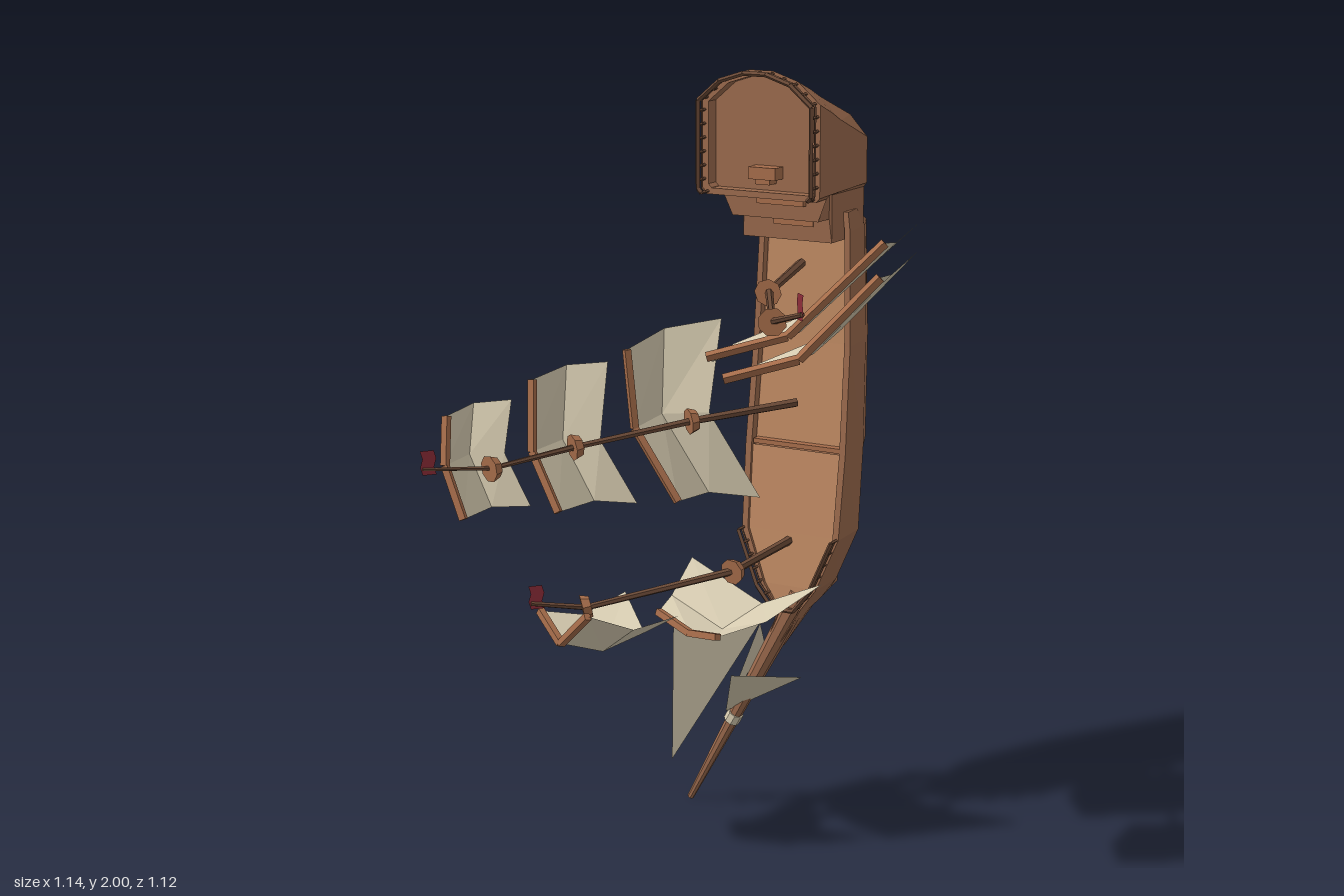
import * as THREE from 'three';

const V = (a) => new THREE.Vector3(...a);
const mat = (color) => new THREE.MeshStandardMaterial({ color, flatShading: true, side: THREE.DoubleSide });
const hullMat = mat(0x9b6a4d), deckMat = mat(0xc08a63), trimMat = mat(0xa56c4a);
const mastMat = mat(0x6a4936), sailMat = mat(0xd6cbb0), flagMat = mat(0x8c2c38);

function add(parent, name, geo, material) {
  const m = new THREE.Mesh(geo, material);
  m.name = name;
  parent.add(m);
  return m;
}

// Skin between rows of points; optionally closed around and capped at both ends
function skin(rows, closed, caps) {
  const pos = [], n = rows[0].length;
  const tri = (a, b, c) => pos.push(...a, ...b, ...c);
  for (let i = 0; i + 1 < rows.length; i++)
    for (let j = 0; j < (closed ? n : n - 1); j++) {
      const k = (j + 1) % n, r = rows[i], s = rows[i + 1];
      tri(r[j], r[k], s[j]);
      tri(r[k], s[k], s[j]);
    }
  if (caps) [rows[0], rows[rows.length - 1]].forEach((r, e) => {
    const c = [0, 1, 2].map((q) => r.reduce((t, p) => t + p[q], 0) / n);
    for (let j = 0; j < n; j++) {
      const k = (j + 1) % n;
      if (e) tri(r[j], r[k], c); else tri(r[k], r[j], c);
    }
  });
  const g = new THREE.BufferGeometry();
  g.setAttribute('position', new THREE.Float32BufferAttribute(pos, 3));
  g.computeVertexNormals();
  return g;
}

// Tapered round or square bar between two points
function bar(parent, name, a, b, r0, r1, material, sides = 6) {
  const p = V(a), q = V(b), d = q.clone().sub(p);
  const m = add(parent, name, new THREE.CylinderGeometry(r1, r0, d.length(), sides), material);
  m.position.copy(p).add(q).multiplyScalar(0.5);
  m.quaternion.setFromUnitVectors(new THREE.Vector3(0, 1, 0), d.normalize());
}
function chain(parent, name, pts, r, material, sides) {
  for (let i = 0; i + 1 < pts.length; i++) bar(parent, name, pts[i], pts[i + 1], r, r, material, sides);
}

// Hull stations: height, keel start depth, keel, bilge and deck half widths, deck depth, sideways shift
const stations = [
  [1.64, 0.12, 0.035, 0.09, 0.122, 0.268, 0.045],
  [1.59, 0, 0.035, 0.1, 0.128, 0.268, 0.045],
  [1.3, 0, 0.035, 0.11, 0.138, 0.27, 0.04],
  [1.02, 0, 0.035, 0.11, 0.144, 0.278, 0.028],
  [0.8, 0, 0.018, 0.055, 0.14, 0.288, 0.02],
  [0.66, 0, 0.012, 0.025, 0.08, 0.296, 0.02],
  [0.6, 0, 0.01, 0.018, 0.035, 0.296, 0.02],
  [0.585, 0.13, 0.01, 0.02, 0.03, 0.29, 0.015],
  [0.48, 0.225, 0.008, 0.012, 0.016, 0.275, -0.04],
];

function hullRing([y, d0, k, b, w, D, o]) {
  const at = (t) => d0 + (D - d0) * t, wi = w * 0.88;
  const side = [[k, d0], [b, at(0.2)], [w, at(0.55)], [w, D], [wi, D], [wi, D - 0.03]];
  return [...side, ...side.map(([u, d]) => [-u, d]).reverse()].map(([u, d]) => [u + o * d / D, y, d]);
}

function buildHull(group) {
  const hull = new THREE.Group();
  hull.name = 'hull';
  hull.position.set(0.155, 0, -0.56);
  hull.rotation.y = -0.18;
  group.add(hull);
  add(hull, 'hullShell', skin(stations.map(hullRing), true, true), hullMat);

  // Main deck and raised foredeck
  const strip = ([y, , , , w, D, o], drop) => [-1, 1].map((s) => [o + s * w * 0.88, y, D - drop]);
  add(hull, 'mainDeck', skin(stations.slice(1, 4).map((s) => strip(s, 0.027)), false), deckMat);
  add(hull, 'foreDeck', skin(stations.slice(3, 7).map((s) => strip(s, 0.008)), false), deckMat);
  const step = add(hull, 'foreDeckEdge', new THREE.BoxGeometry(0.25, 0.012, 0.03), trimMat);
  step.position.set(0.03, 1.03, 0.26);

  // Stern castle: arched sections from the back to the recessed front, narrow below the quarterdeck
  const arch = (d, low, w, top, s = 1, foot = w * 0.94) => {
    const half = [[foot, low], [foot, 1.69], [w, 1.7], [w, top - 0.075], [w * 0.62, top - 0.022], [w * 0.2, top]];
    const shift = 0.035 - 0.01 * (d - 0.15) / 0.31, mid = (low + top) / 2;
    return [...half, ...half.map(([u, y]) => [-u, y]).reverse()]
      .map(([u, y]) => [u * s + shift, mid + (y - mid) * s, d]);
  };
  const sections = [
    arch(0.16, 1.57, 0.128, 1.89), arch(0.33, 1.57, 0.148, 1.95, 1, 0.125),
    arch(0.335, 1.63, 0.148, 1.952, 1, 0.12), arch(0.39, 1.63, 0.155, 1.975, 1, 0.12),
    arch(0.395, 1.689, 0.155, 1.977), arch(0.46, 1.689, 0.163, 2),
    arch(0.46, 1.689, 0.163, 2, 0.9), arch(0.425, 1.689, 0.163, 2, 0.9),
  ];
  add(hull, 'sternCastle', skin(sections, true, true), hullMat);

  // Stairs and helm
  for (let i = 0; i < 4; i++) {
    const s = add(hull, 'stair', new THREE.BoxGeometry(0.13 - i * 0.01, 0.025, 0.035), trimMat);
    s.position.set(0.05, 1.68 - i * 0.03, 0.39 - i * 0.035);
  }
  const helm = add(hull, 'helm', new THREE.BoxGeometry(0.075, 0.03, 0.04), trimMat);
  helm.position.set(0.03, 1.75, 0.445);
  const stand = add(hull, 'helmStand', new THREE.BoxGeometry(0.04, 0.035, 0.05), trimMat);
  stand.position.set(0.03, 1.74, 0.435);

  // Railings with posts around the stern arch and the bow
  const rail = (name, pts, h, n) => {
    const path = new THREE.CurvePath();
    pts.forEach((p, i) => i && path.add(new THREE.LineCurve3(V(pts[i - 1]), V(p))));
    const up = (p, t = 1) => [p[0], p[1], p[2] + h * t];
    chain(hull, name, pts.map((p) => up(p)), 0.006, mastMat, 4);
    chain(hull, name, pts.map((p) => up(p, 0.5)), 0.003, mastMat, 4);
    for (let i = 0; i <= n; i++) {
      const p = path.getPointAt(i / n).toArray();
      bar(hull, name + 'Post', p, up(p), 0.004, 0.004, mastMat, 4);
    }
  };
  rail('sternRail', arch(0.455, 1.69, 0.163, 2, 0.96), 0.04, 24);
  rail('bowRail', [[-0.115, 0.8, 0.282], [-0.055, 0.66, 0.29], [-0.01, 0.605, 0.29],
    [0.05, 0.605, 0.29], [0.095, 0.66, 0.29], [0.155, 0.8, 0.282]], 0.036, 14);
}

// Masts: path points, with a fitting at each inner joint and a flag at the tip
const masts = [
  ['mizzenMast', [[0.14, 1.5, -0.3], [0.165, 1.485, 0.03], [0.29, 1.485, 0.38], [0.41, 1.535, 0.53]]],
  ['mainMast', [[0.13, 1.14, -0.3], [-0.085, 1.115, -0.117], [-0.31, 1.08, 0.105], [-0.44, 1.065, 0.32], [-0.567, 1.08, 0.445]]],
  ['foreMast', [[0.12, 0.78, -0.29], [0.045, 0.75, -0.064], [-0.285, 0.67, 0.11], [-0.395, 0.695, 0.205]]],
];

function buildMast(group, name, pts) {
  const mast = new THREE.Group();
  mast.name = name;
  group.add(mast);
  const n = pts.length - 1;
  for (let i = 0; i < n; i++) {
    const r = 0.012 - i * 0.002;
    bar(mast, 'spar', pts[i], pts[i + 1], r, r - 0.002, mastMat);
    if (!i) continue;
    const p = V(pts[i]), d = V(pts[i]).sub(V(pts[i - 1])).normalize().multiplyScalar(0.011);
    bar(mast, 'mastTop', p.clone().sub(d).toArray(), p.clone().add(d).toArray(), 0.026, 0.034, trimMat, 8);
  }
  const [x, y, z] = pts[n], along = V(pts[n]).sub(V(pts[n - 1])).setY(0).normalize();
  const flag = [0, 0.02, 0.04, 0.06].map((t, i) => [-0.035, 0].map((s) => {
    const k = s + (i % 2) * 0.006;
    return [x + along.x * k, y - 0.015 + t, z + along.z * k];
  }));
  add(mast, 'flag', skin(flag, false), flagMat);
}

// Sails: bent yard, then the free edge, and the offset of the belly from halfway between them
const sails = [
  ['mizzenLowerSail', [[0.08, 1.36, 0.24], [0.26, 1.41, 0.175], [0.47, 1.63, 0.09]],
    [[0.04, 1.33, -0.07], [0.25, 1.42, -0.17], [0.465, 1.635, -0.27]], [-0.02, -0.03, 0]],
  ['mizzenUpperSail', [[0.23, 1.38, 0.545], [0.39, 1.425, 0.49], [0.557, 1.61, 0.425]],
    [[0.22, 1.36, 0.27], [0.4, 1.44, 0.2], [0.565, 1.625, 0.14]], [-0.018, -0.025, 0]],
  ['mainLowerSail', [[-0.235, 1.3, -0.05], [-0.215, 1.1, -0.05], [-0.1, 0.92, -0.05]],
    [[-0.055, 1.355, -0.25], [-0.07, 1.12, -0.2], [0.05, 0.895, -0.25]], [-0.05, 0, -0.06]],
  ['mainMiddleSail', [[-0.41, 1.25, 0.14], [-0.4, 1.075, 0.17], [-0.32, 0.935, 0.2]],
    [[-0.27, 1.275, -0.01], [-0.28, 1.08, 0.02], [-0.19, 0.92, 0]], [-0.035, 0, -0.06]],
  ['mainUpperSail', [[-0.56, 1.185, 0.32], [-0.55, 1.07, 0.355], [-0.495, 0.945, 0.375]],
    [[-0.44, 1.21, 0.2], [-0.45, 1.08, 0.225], [-0.385, 0.95, 0.22]], [-0.035, 0, -0.045]],
  ['foreLowerSail', [[-0.15, 0.63, -0.04], [-0.04, 0.605, 0.03], [0.06, 0.625, 0.1]],
    [[-0.11, 0.74, -0.18], [0.1, 0.655, -0.12], [0.285, 0.745, -0.04]], [-0.01, -0.03, 0]],
  ['foreUpperSail', [[-0.39, 0.665, 0.16], [-0.31, 0.605, 0.22], [-0.215, 0.7, 0.275]],
    [[-0.22, 0.69, 0.01], [-0.13, 0.62, 0.11], [-0.02, 0.69, 0.16]], [0, -0.035, 0]],
];

function buildSail(group, name, yard, foot, belly) {
  const sail = new THREE.Group();
  sail.name = name;
  group.add(sail);
  const middle = yard.map((p, i) => p.map((c, q) => (c + foot[i][q]) / 2 + belly[q]));
  add(sail, 'cloth', skin([yard, middle, foot], false), sailMat);
  chain(sail, 'yard', yard, 0.012, trimMat, 4);
}

export function createModel() {
  const group = new THREE.Group();
  group.name = 'sailingShip';
  buildHull(group);
  masts.forEach((m) => buildMast(group, ...m));
  sails.forEach((s) => buildSail(group, ...s));

  // Bowsprit with collar and staysails
  bar(group, 'bowsprit', [0.15, 0.64, -0.285], [-0.19, 0.005, -0.385], 0.03, 0.009, hullMat, 8);
  bar(group, 'bowspritCollar', [-0.046, 0.275, -0.343], [-0.06, 0.25, -0.347], 0.022, 0.022, sailMat, 8);
  const staysails = [
    [[-0.165, 0.6, -0.19], [-0.2, 0.15, -0.27], [0.035, 0.545, -0.3]],
    [[0.035, 0.545, -0.3], [-0.07, 0.28, -0.33], [0, 0.44, -0.445]],
    [[0.03, 0.465, -0.085], [-0.07, 0.28, -0.33], [0.135, 0.39, -0.35]],
  ];
  staysails.forEach(([a, b, c]) => {
    const g = new THREE.BufferGeometry().setFromPoints([V(a), V(b), V(c)]);
    g.computeVertexNormals();
    add(group, 'staysail', g, sailMat);
  });
  return group;
}
